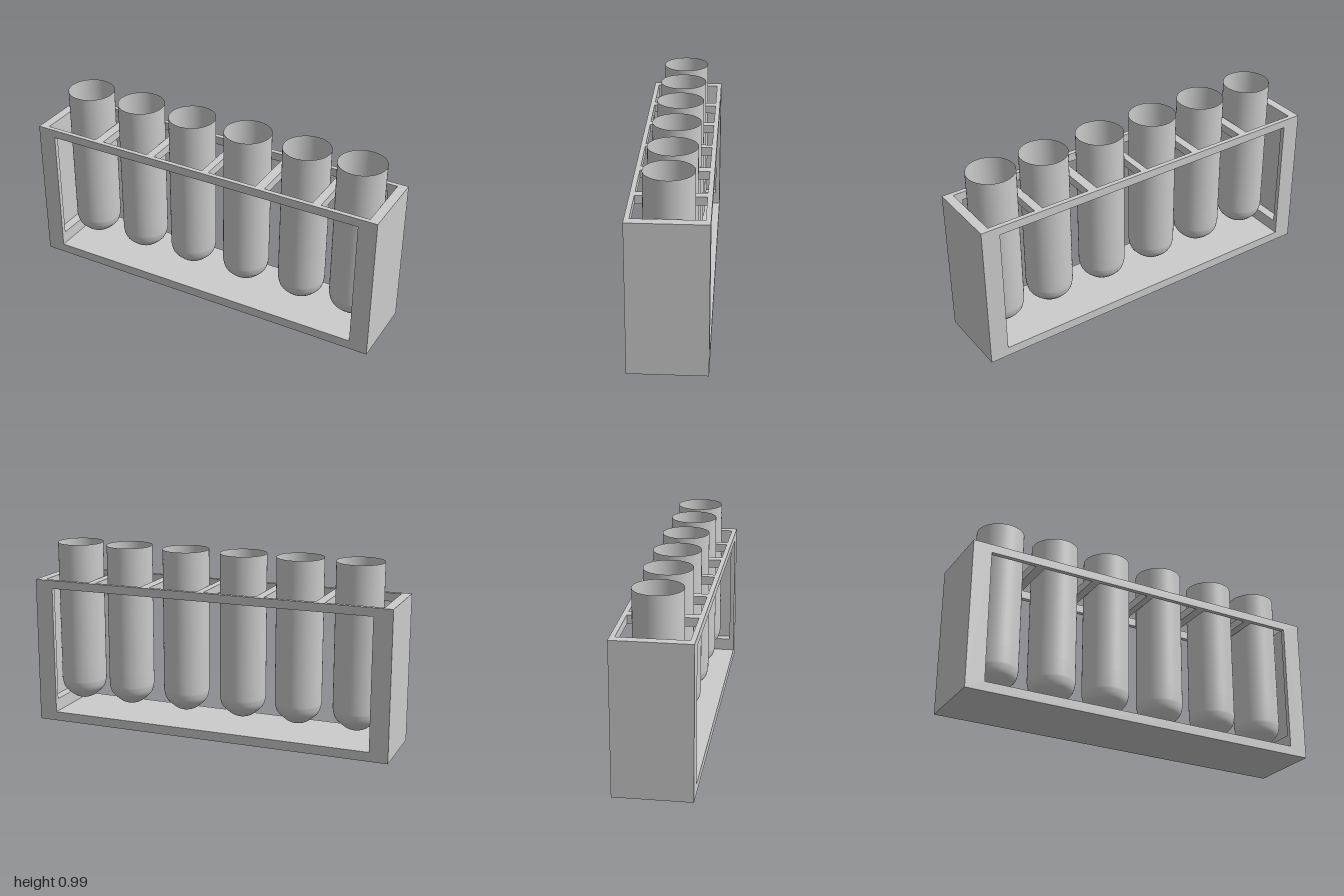
import * as THREE from 'three';

const grey = new THREE.MeshStandardMaterial({ color: 0xcccccc });
const glass = new THREE.MeshStandardMaterial({ color: 0xcccccc, side: THREE.DoubleSide });

// Box given by its low and high limits on each axis
function box(name, [x0, x1], [y0, y1], [z0, z1]) {
  const mesh = new THREE.Mesh(new THREE.BoxGeometry(x1 - x0, y1 - y0, z1 - z0), grey);
  mesh.position.set((x0 + x1) / 2, (y0 + y1) / 2, (z0 + z1) / 2);
  mesh.name = name;
  return mesh;
}

// Front or back panel with one large window
function windowPanel(name, z) {
  const shape = new THREE.Shape([[-1, 0], [1, 0], [1, 0.8], [-1, 0.8]].map(p => new THREE.Vector2(...p)));
  shape.holes.push(new THREE.Path([[-0.9, 0.05], [-0.9, 0.755], [0.9, 0.755], [0.9, 0.05]].map(p => new THREE.Vector2(...p))));
  const mesh = new THREE.Mesh(new THREE.ExtrudeGeometry(shape, { depth: 0.025, bevelEnabled: false }), grey);
  mesh.position.z = z;
  mesh.name = name;
  return mesh;
}

export function createModel() {
  const model = new THREE.Group();
  model.name = 'testTubeRack';

  // Rack frame
  const rack = new THREE.Group();
  rack.name = 'rack';
  const inner = [-0.175, 0.175];
  rack.add(windowPanel('frontPanel', 0.175), windowPanel('backPanel', -0.2));
  rack.add(box('base', [-0.95, 0.95], [0, 0.05], inner));
  for (const [side, s] of [['left', 1], ['right', -1]]) {
    const span = (a, b) => (s > 0 ? [a, b] : [-b, -a]);
    rack.add(box(side + 'EndWall', span(0.95, 1), [0, 0.8], inner));
    rack.add(box(side + 'Ledge', span(0.9, 0.95), [0.05, 0.12], inner));
  }

  // Cross bars between the tube openings
  const bars = [[-0.645, -0.595], [-0.32, -0.275], [0.015, 0.053], [0.326, 0.377], [0.645, 0.69]];
  bars.forEach((b, i) => rack.add(box('crossBar' + (i + 1), b, [0.755, 0.8], inner)));
  model.add(rack);

  // Thin open tubes with rounded bottoms
  const profile = [new THREE.Vector2(0, 0.095)];
  const bowl = new THREE.SplineCurve([
    [0.025, 0.097], [0.055, 0.109], [0.09, 0.137], [0.115, 0.167], [0.125, 0.21],
  ].map(p => new THREE.Vector2(...p)));
  profile.push(...bowl.getPoints(12), new THREE.Vector2(0.125, 0.3), new THREE.Vector2(0.125, 0.99));
  const tubeGeometry = new THREE.LatheGeometry(profile, 48);
  [-0.777, -0.457, -0.142, 0.188, 0.523, 0.823].forEach((x, i) => {
    const tube = new THREE.Mesh(tubeGeometry, glass);
    tube.position.x = x;
    tube.name = 'tube' + (i + 1);
    model.add(tube);
  });
  return model;
}
